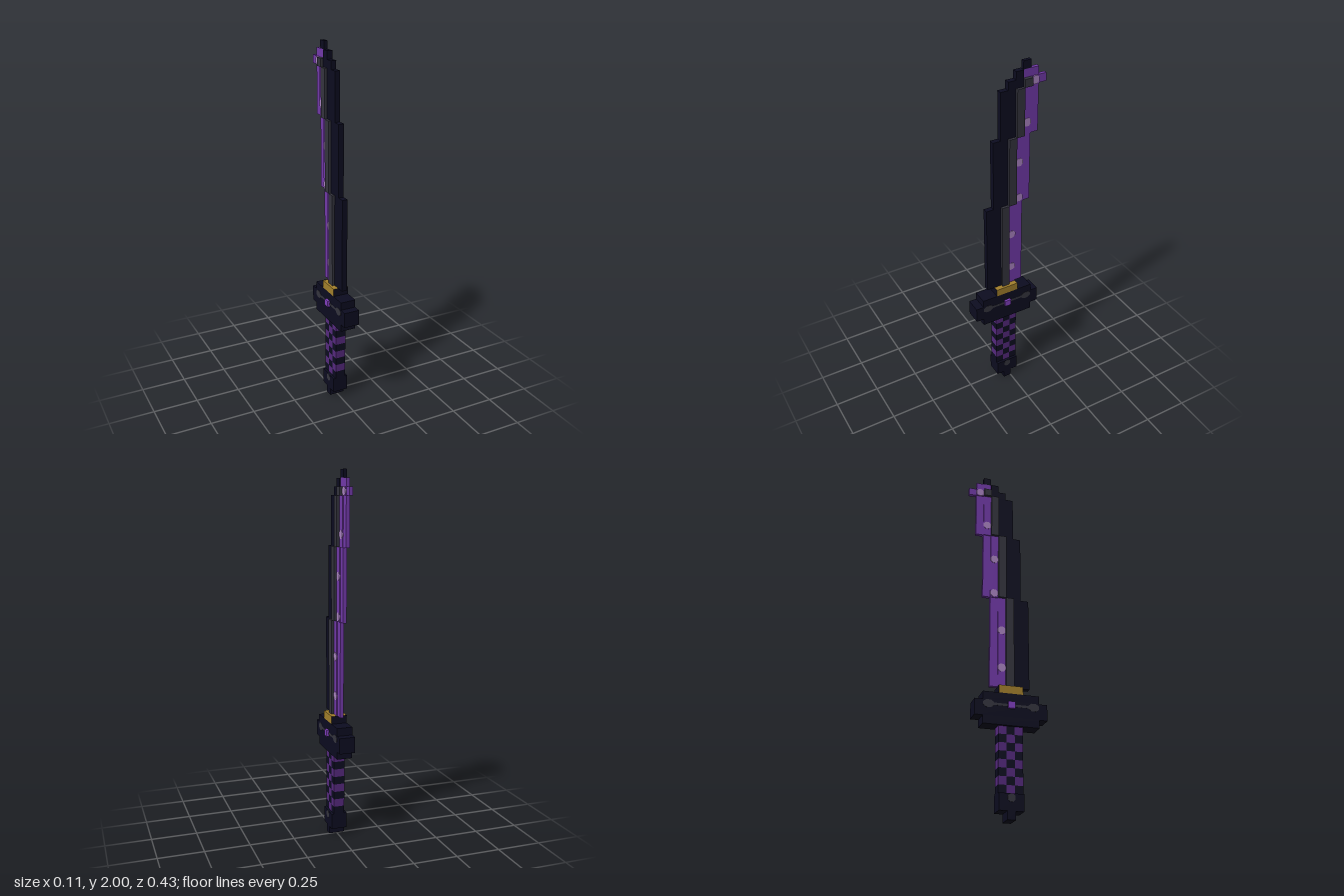
import * as THREE from 'three';

const U = 2 / 46; // one voxel

const mat = (name, color) => {
  const m = new THREE.MeshStandardMaterial({ color });
  m.name = name;
  return m;
};

export function createModel() {
  const dark = mat('midnight', 0x0c0c20);
  const grey = mat('steelGrey', 0x35353f);
  const purple = mat('edgePurple', 0x743aac);
  const wrap = mat('wrapPurple', 0x56297f);
  const gold = mat('gold', 0xa5812c);
  const pale = mat('paleLilac', 0xae86c6);
  const gemColor = mat('gemPurple', 0x8440c4);

  const root = new THREE.Group();
  root.name = 'sword';
  const group = (name) => {
    const g = new THREE.Group();
    g.name = name;
    root.add(g);
    return g;
  };

  // Box given by half thickness, then z and y ranges in voxels
  const box = (parent, name, material, half, z0, z1, y0, y1) => {
    const m = new THREE.Mesh(new THREE.BoxGeometry(half * 2, (y1 - y0) * U, (z1 - z0) * U), material);
    m.name = name;
    m.position.set(0, (y0 + y1) / 2 * U, (z0 + z1) / 2 * U);
    parent.add(m);
    return m;
  };

  // Octagonal spot showing on both sides
  const spot = (parent, name, material, half, z, y, r = 0.55) => {
    const g = new THREE.CylinderGeometry(r * U, r * U, half * 2, 8);
    g.rotateY(Math.PI / 8);
    g.rotateZ(Math.PI / 2);
    const m = new THREE.Mesh(g, material);
    material.flatShading = false;
    m.name = name;
    m.position.set(0, y * U, z * U);
    parent.add(m);
    return m;
  };

  // Blade: three stepped sections, each one voxel further back
  const blade = group('blade');
  [[16, 28], [28, 37], [37, 43]].forEach(([y0, y1], i) => {
    const z = -i;
    box(blade, 'spine', dark, 0.015, z + 1, z + 3, y0, y1);
    box(blade, 'fuller', grey, 0.03, z, z + 1, y0, y1);
    box(blade, 'innerEdge', purple, 0.015, z - 1, z, y0, y1);
    box(blade, 'outerEdge', purple, 0.01, z - 2, z - 1, y0, y1);
  });

  // Stepped tip
  const tip = group('tip');
  box(tip, 'tipSpine', dark, 0.015, -2, 0, 43, 44);
  box(tip, 'tipFuller', grey, 0.03, -3, -2, 43, 44);
  box(tip, 'tipEdge', purple, 0.015, -4, -3, 43, 44);
  box(tip, 'tipBarb', purple, 0.01, -5, -4, 43, 44);
  box(tip, 'tipSpineUpper', dark, 0.015, -2, -1, 44, 45);
  box(tip, 'tipEdgeUpper', purple, 0.01, -4, -2, 44, 45);
  box(tip, 'tipPoint', dark, 0.01, -3, -2, 45, 46);

  // Pale spots along the cutting edge
  const spots = group('bladeSpots');
  [[-0.5, 18.5], [-0.5, 23.5], [-1.5, 28.6], [-1.5, 33.5], [-2.5, 38.5], [-3.5, 43.5]].forEach(([z, y]) =>
    spot(spots, 'bladeSpot', pale, 0.0165, z, y));

  // Guard: stacked slabs with a gold collar, dark at its two ends
  const guard = group('guard');
  box(guard, 'guardLower', dark, U, -3, 4, 11, 12);
  box(guard, 'guardMiddle', dark, U, -4, 5, 12, 14);
  box(guard, 'guardUpper', dark, U, -3, 4, 14, 15);
  box(guard, 'collar', [gold, gold, gold, dark, dark, dark], U, -1, 2, 15, 16);
  box(guard, 'guardLine', grey, U + 0.001, -2, 3, 13.35, 13.65);
  [3.3, -2.3].forEach((z) => {
    const s = spot(guard, 'guardStud', grey, U + 0.0015, z, 13.5, 0.52);
    s.scale.z = 1.4;
  });
  box(guard, 'gem', gemColor, 0.057, 0.08, 0.92, 13.08, 13.92);

  // Grip: checkered wrap, three columns by eight rows
  const grip = group('grip');
  for (let row = 0; row < 8; row++) {
    for (let col = 0; col < 3; col++) {
      box(grip, 'gripCell', (row + col) % 2 ? dark : wrap, 0.03, col - 1, col, 10 - row, 11 - row);
    }
  }

  // Pommel
  const pommel = group('pommel');
  box(pommel, 'pommelBlock', dark, U, -1, 2, 1, 3);
  box(pommel, 'pommelFoot', dark, U, 0, 1, 0, 1);
  spot(pommel, 'pommelStud', grey, U + 0.0015, 0.5, 2.5, 0.5);

  return root;
}
